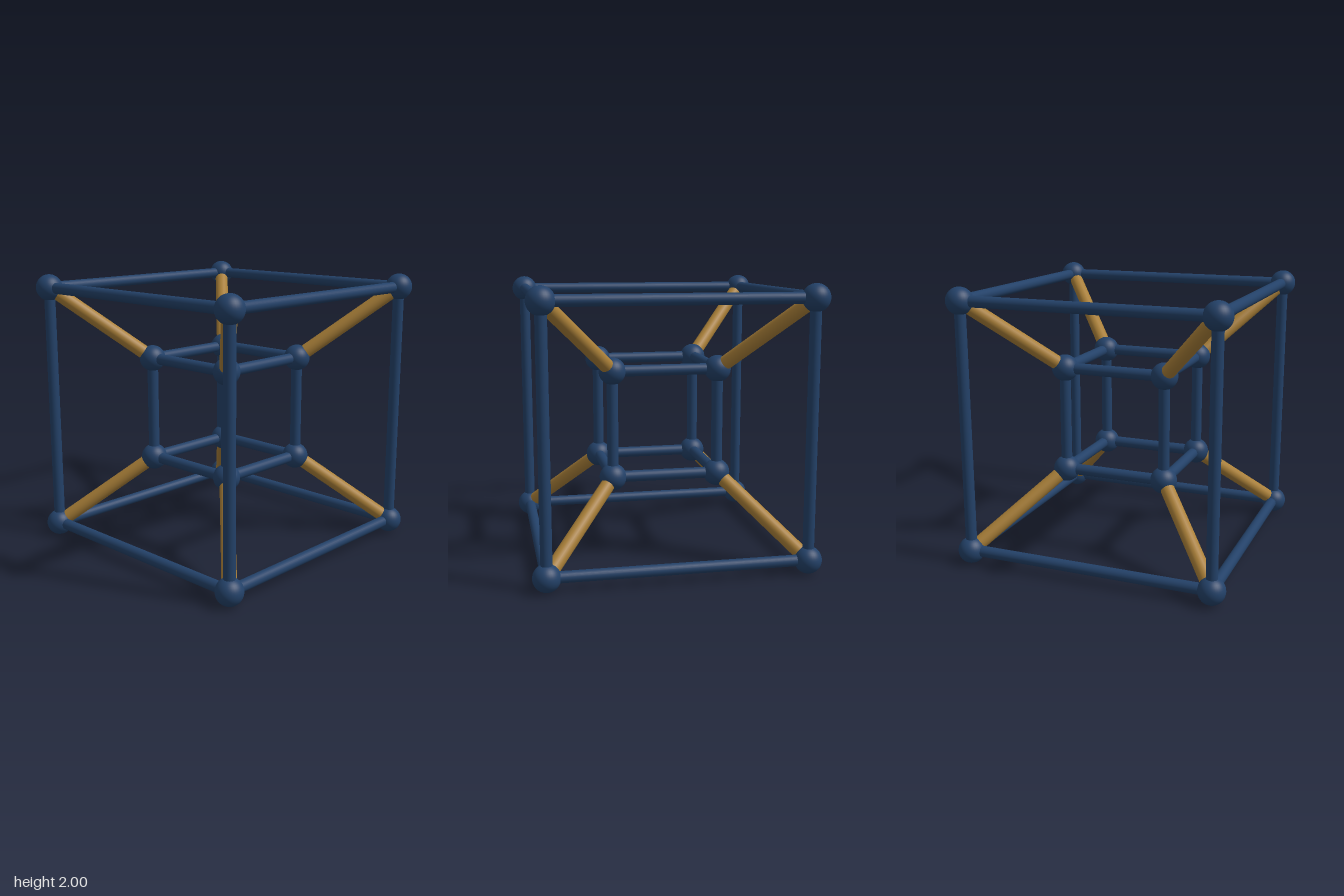
import * as THREE from 'three';

const blue = new THREE.MeshStandardMaterial({ color: 0x234168 });
blue.name = 'navy blue';
const gold = new THREE.MeshStandardMaterial({ color: 0xa97f38 });
gold.name = 'old gold';

const OUTER = 0.904, INNER = 0.38, BALL = 0.096;
const UP = new THREE.Vector3(0, 1, 0);

// Round bar running between two points
function bar(name, a, b, radius, material) {
  const dir = b.clone().sub(a);
  const mesh = new THREE.Mesh(new THREE.CylinderGeometry(radius, radius, dir.length(), 24), material);
  mesh.position.copy(a).add(b).multiplyScalar(0.5);
  mesh.quaternion.setFromUnitVectors(UP, dir.normalize());
  mesh.name = name;
  return mesh;
}

// Corner i of a cube: each bit picks the sign of one axis
function corner(i, half) {
  return new THREE.Vector3(i & 1 ? half : -half, i & 2 ? half : -half, i & 4 ? half : -half);
}

// Cube frame: a ball on every corner, a bar along every edge
function cubeFrame(name, half) {
  const frame = new THREE.Group();
  frame.name = name;
  const ballGeometry = new THREE.SphereGeometry(BALL, 32, 20);
  for (let i = 0; i < 8; i++) {
    const ball = new THREE.Mesh(ballGeometry, blue);
    ball.position.copy(corner(i, half));
    ball.name = 'cornerBall';
    frame.add(ball);
    for (const bit of [1, 2, 4]) {
      if (!(i & bit)) frame.add(bar('edgeBar', corner(i, half), corner(i | bit, half), 0.04, blue));
    }
  }
  return frame;
}

export function createModel() {
  const model = new THREE.Group();
  model.name = 'nestedCubes';
  model.add(cubeFrame('outerCube', OUTER), cubeFrame('innerCube', INNER));

  // Diagonal struts joining matching corners
  const struts = new THREE.Group();
  struts.name = 'diagonalStruts';
  for (let i = 0; i < 8; i++) {
    struts.add(bar('diagonalStrut', corner(i, INNER), corner(i, OUTER), 0.051, gold));
  }
  model.add(struts);

  // Stand the frame on the ground
  model.position.y = OUTER + BALL;
  return model;
}
